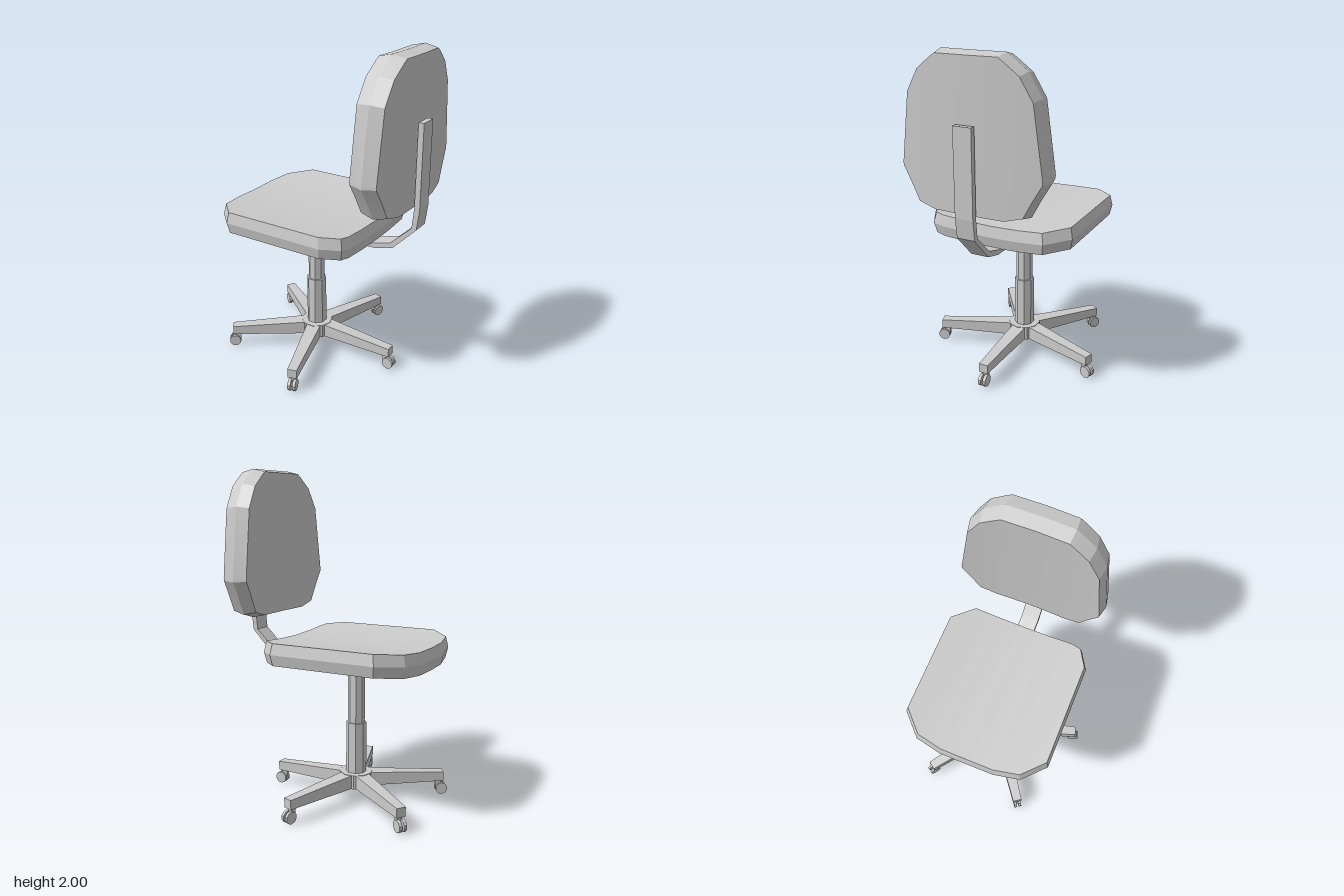
import * as THREE from 'three';
import { toCreasedNormals } from 'three/addons/utils/BufferGeometryUtils.js';

const grey = new THREE.MeshStandardMaterial({ color: 0xcccccc });
const flat = new THREE.MeshStandardMaterial({ color: 0xcccccc, flatShading: true });

function add(parent, name, geometry, material = flat) {
  const mesh = new THREE.Mesh(geometry, material);
  mesh.name = name;
  parent.add(mesh);
  return mesh;
}

// Curved cushion from rows [z, low x, high x]: a full middle ring between two inset faces,
// dished upwards towards the sides.
function cushion(rows, centreX, level, half, inset) {
  const n = rows.length;
  const loop = [...rows.map(([z, lo]) => [lo, z]), ...rows.map(([z, , hi]) => [hi, z]).reverse()];
  const layers = [[-half, inset], [0, 1], [half, inset]].map(([t, s]) =>
    loop.map(([x, z]) => [centreX + (x - centreX) * s, level + t + 0.14 * z * z, z * s]));
  const pos = [];
  const quad = (a, b, c, d) => pos.push(...a, ...b, ...c, ...a, ...c, ...d);
  const [bottom, , top] = layers;
  for (let k = 0; k < 2; k++) {
    for (let i = 0; i < 2 * n; i++) {
      const j = (i + 1) % (2 * n);
      quad(layers[k][i], layers[k][j], layers[k + 1][j], layers[k + 1][i]);
    }
  }
  for (let i = 0; i < n - 1; i++) {
    const h = 2 * n - 1 - i;
    quad(top[i], top[i + 1], top[h - 1], top[h]);
    quad(bottom[h], bottom[h - 1], bottom[i + 1], bottom[i]);
  }
  const geo = new THREE.BufferGeometry();
  geo.setAttribute('position', new THREE.Float32BufferAttribute(pos, 3));
  return toCreasedNormals(geo, 0.3);
}

// Closed outline pulled to a given depth, centred on z = 0
function extrude(points, depth) {
  const shape = new THREE.Shape(points.map(([x, y]) => new THREE.Vector2(x, y)));
  return new THREE.ExtrudeGeometry(shape, { depth, bevelEnabled: false }).translate(0, 0, -depth / 2);
}

// Leg: a box narrowing and dropping towards its outer end
function legGeometry() {
  const geo = new THREE.BoxGeometry(0.49, 0.085, 0.09).translate(0.305, 0.1325, 0);
  const p = geo.attributes.position;
  for (let i = 0; i < p.count; i++) {
    if (p.getX(i) < 0.3) continue;
    p.setZ(i, p.getZ(i) * 0.64);
    if (p.getY(i) > 0.13) p.setY(i, 0.147);
  }
  return geo;
}

function makeCaster() {
  const caster = new THREE.Group();
  caster.name = 'caster';
  for (const side of [-1, 1]) {
    const wheel = add(caster, 'wheel', new THREE.CylinderGeometry(0.037, 0.037, 0.018, 10).rotateX(Math.PI / 2));
    wheel.position.set(0.54, 0.037, side * 0.015);
  }
  add(caster, 'axle', new THREE.CylinderGeometry(0.014, 0.014, 0.02, 8).rotateX(Math.PI / 2))
    .position.set(0.54, 0.037, 0);
  add(caster, 'stem', new THREE.BoxGeometry(0.032, 0.045, 0.028)).position.set(0.518, 0.0725, 0);
  return caster;
}

export function createModel() {
  const chair = new THREE.Group();
  chair.name = 'officeChair';

  // Cushions
  add(chair, 'seat', cushion([
    [-0.455, -0.45, 0.2], [-0.33, -0.578, 0.325], [-0.17, -0.608, 0.325], [0, -0.608, 0.325],
    [0.17, -0.608, 0.325], [0.33, -0.578, 0.325], [0.39, -0.517, 0.31], [0.455, -0.45, 0.2],
  ], -0.14, 0.925, 0.065, 0.97), grey);

  const halfBack = [
    [0.44, 1.35, 1.37], [0.385, 1.255, 1.78], [0.33, 1.15, 1.875], [0.31, 1.145, 1.91],
    [0.22, 1.12, 1.98], [0.19, 1.12, 2.0],
  ];
  const backRows = [
    ...halfBack.map(([z, lo, hi]) => [-z, lo, hi]), [0, 1.12, 2.0], ...[...halfBack].reverse(),
  ];
  add(chair, 'backrest', cushion(backRows, 1.56, -0.48, 0.08, 0.96), grey).rotation.z = Math.PI / 2;

  // Bent bar carrying the backrest
  add(chair, 'backSupport', extrude([
    [-0.2, 0.832], [0.33, 0.832], [0.445, 0.862], [0.59, 1.01], [0.605, 1.13], [0.605, 1.63],
    [0.572, 1.63], [0.572, 1.14], [0.56, 1.015], [0.43, 0.892], [0.33, 0.864], [-0.2, 0.864],
  ], 0.11));

  // Thin bent plate under the seat
  const plate = add(chair, 'seatPlate', extrude([
    [-0.21, 0.853], [-0.15, 0.849], [-0.05, 0.817], [0.05, 0.817], [0.15, 0.849], [0.21, 0.853],
    [0.21, 0.868], [0.15, 0.86], [0.05, 0.83], [-0.05, 0.83], [-0.15, 0.86], [-0.21, 0.868],
  ], 0.32));
  plate.rotation.y = Math.PI / 2;
  plate.position.x = -0.12;

  // Column and five-legged base
  const base = new THREE.Group();
  base.name = 'base';
  base.position.x = -0.12;
  chair.add(base);
  const turn = Math.PI / 8;
  add(base, 'upperColumn', new THREE.CylinderGeometry(0.051, 0.051, 0.35, 8).rotateY(turn)).position.y = 0.645;
  add(base, 'lowerColumn', new THREE.CylinderGeometry(0.062, 0.062, 0.33, 8).rotateY(turn)).position.y = 0.325;
  add(base, 'hub', new THREE.CylinderGeometry(0.1, 0.1, 0.087, 10).rotateY(Math.PI / 10)).position.y = 0.1325;

  const legShape = legGeometry();
  for (let i = 0; i < 5; i++) {
    const leg = new THREE.Group();
    leg.name = 'leg';
    leg.rotation.y = (i * Math.PI * 2) / 5;
    add(leg, 'legBeam', legShape);
    leg.add(makeCaster());
    base.add(leg);
  }
  return chair;
}
